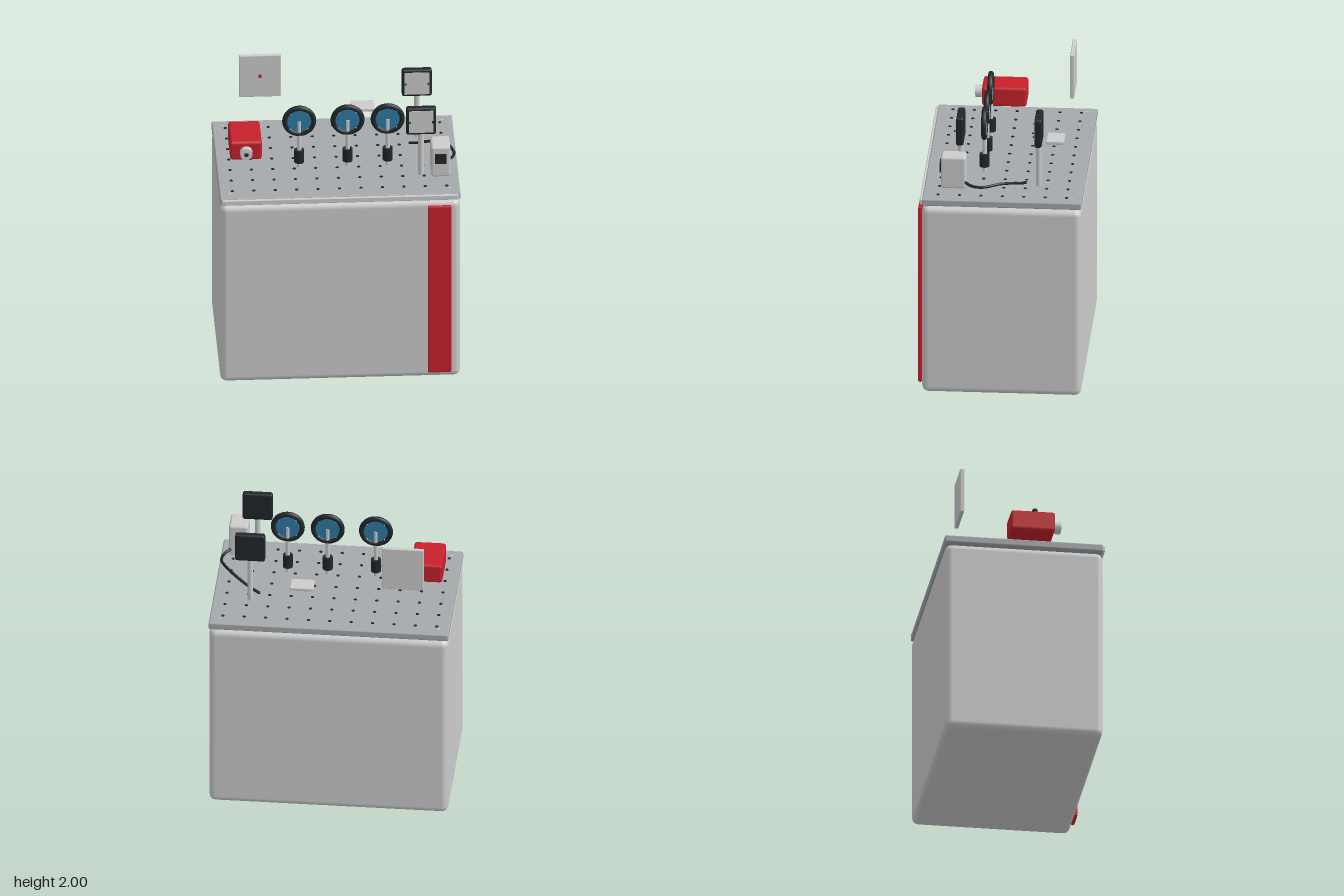
import * as THREE from 'three';
import { RoundedBoxGeometry } from 'three/addons/geometries/RoundedBoxGeometry.js';

const mat = (color) => new THREE.MeshStandardMaterial({ color });
const grey = mat(0xcccccc), steel = mat(0xa4a9ac), red = mat(0xc8202a);
const black = mat(0x20262a), glass = mat(0x2d7aa3);

function add(parent, name, geometry, material, x = 0, y = 0, z = 0) {
  const mesh = new THREE.Mesh(geometry, material);
  mesh.name = name;
  mesh.position.set(x, y, z);
  parent.add(mesh);
  return mesh;
}

// Box given by its limits on each axis, with optional softened edges
function slab(parent, name, material, [x0, x1], [y0, y1], [z0, z1], r = 0, segments = 1) {
  const size = [x1 - x0, y1 - y0, z1 - z0];
  const geo = r ? new RoundedBoxGeometry(...size, segments, r) : new THREE.BoxGeometry(...size);
  return add(parent, name, geo, material, (x0 + x1) / 2, (y0 + y1) / 2, (z0 + z1) / 2);
}

function rod(r, y0, y1, sides = 20) {
  return new THREE.CylinderGeometry(r, r, y1 - y0, sides).translate(0, (y0 + y1) / 2, 0);
}

// Cylinder along z
const puck = (r, depth, sides = 24) => new THREE.CylinderGeometry(r, r, depth, sides).rotateX(Math.PI / 2);

// Round lens in a black ring, on a post with a holder
function lensMount(x) {
  const g = new THREE.Group();
  g.name = 'lensMount';
  g.position.set(x, 0, 0.132);
  add(g, 'lensRing', new THREE.TorusGeometry(0.097, 0.018, 12, 40), black, 0, 1.787, 0);
  add(g, 'lensGlass', puck(0.082, 0.016, 40), glass, 0, 1.787, 0);
  for (let i = 0; i < 4; i++) {
    const a = Math.PI / 4 + i * Math.PI / 2;
    add(g, 'ringScrew', puck(0.004, 0.03, 8), grey, 0.082 * Math.cos(a), 1.787 + 0.082 * Math.sin(a), 0);
  }
  add(g, 'lensPost', rod(0.015, 1.435, 1.787), grey);
  add(g, 'postHolder', rod(0.034, 1.473, 1.565, 24), black);
  return g;
}

// Square mirror in a black frame, on a plain post
function mirrorMount(z) {
  const g = new THREE.Group();
  g.name = 'mirrorMount';
  g.position.set(0.557, 0, z);
  slab(g, 'mirrorFrame', black, [-0.101, 0.101], [1.749, 1.952], [-0.025, 0.025], 0.014, 2);
  slab(g, 'mirrorFace', grey, [-0.083, 0.083], [1.767, 1.934], [0.02, 0.028]);
  for (const s of [-1, 1]) add(g, 'adjuster', puck(0.006, 0.014, 8), black, s * 0.077, 1.85, 0.034);
  add(g, 'mirrorPost', rod(0.019, 1.435, 1.76), grey);
  return g;
}

export function createModel() {
  const model = new THREE.Group();
  model.name = 'opticsBench';

  // Cabinet with a red stripe
  slab(model, 'cabinet', grey, [-0.808, 0.808], [0, 1.358], [-0.55, 0.524], 0.045, 2);
  slab(model, 'stripe', red, [0.588, 0.747], [0.05, 1.332], [0.527, 0.552], 0.008);

  // Table top with front trim
  slab(model, 'tableTop', steel, [-0.81, 0.81], [1.368, 1.418], [-0.552, 0.522], 0.01);
  slab(model, 'frontTrim', grey, [-0.797, 0.797], [1.373, 1.41], [0.515, 0.538], 0.006);

  // Grid of threaded holes and corner screws
  const hole = new THREE.CylinderGeometry(0.011, 0.011, 0.008, 8);
  for (let i = -5; i <= 5; i++)
    for (let j = -3; j <= 3; j++)
      add(model, 'hole', hole, black, i * 0.1445, 1.418, -0.014 + j * 0.1445);
  const screw = new THREE.CylinderGeometry(0.009, 0.009, 0.008, 12);
  for (const sx of [-1, 1])
    for (const sz of [-1, 1])
      add(model, 'cornerScrew', screw, grey, sx * 0.741, 1.417, -0.014 + sz * 0.469);

  // Red light source with a nozzle
  slab(model, 'sourceBox', red, [-0.725, -0.511], [1.538, 1.677], [-0.091, 0.21], 0.018);
  add(model, 'nozzle', puck(0.042, 0.042), grey, -0.618, 1.607, 0.237);
  add(model, 'nozzleTip', puck(0.03, 0.05), grey, -0.618, 1.607, 0.237);
  slab(model, 'aperture', black, [-0.63, -0.606], [1.595, 1.619], [0.25, 0.264]);

  for (const x of [-0.256, 0.07, 0.34]) model.add(lensMount(x));
  for (const z of [-0.249, 0.278]) model.add(mirrorMount(z));

  // Target screen with a red spot
  slab(model, 'targetScreen', grey, [-0.632, -0.35], [1.682, 2], [-0.424, -0.396], 0.006);
  slab(model, 'targetSpot', red, [-0.502, -0.48], [1.833, 1.856], [-0.398, -0.388]);

  // Small flat stage
  slab(model, 'stagePlate', grey, [0.117, 0.276], [1.612, 1.635], [-0.398, -0.277], 0.005);

  // Controller with a dark display, and its cable
  slab(model, 'controller', grey, [0.62, 0.749], [1.474, 1.703], [0.231, 0.4], 0.016);
  slab(model, 'display', black, [0.645, 0.722], [1.58, 1.652], [0.395, 0.409]);
  const path = new THREE.CatmullRomCurve3([
    [0.737, 1.52, 0.235], [0.773, 1.51, 0.19], [0.786, 1.508, 0.113], [0.735, 1.513, 0.003],
    [0.635, 1.48, -0.087], [0.555, 1.446, -0.13], [0.505, 1.432, -0.157],
  ].map((p) => new THREE.Vector3(...p)));
  add(model, 'cable', new THREE.TubeGeometry(path, 40, 0.01, 8), black);
  for (const t of [0, 1]) add(model, 'cableEnd', new THREE.SphereGeometry(0.01, 8, 6), black).position.copy(path.getPoint(t));

  return model;
}
